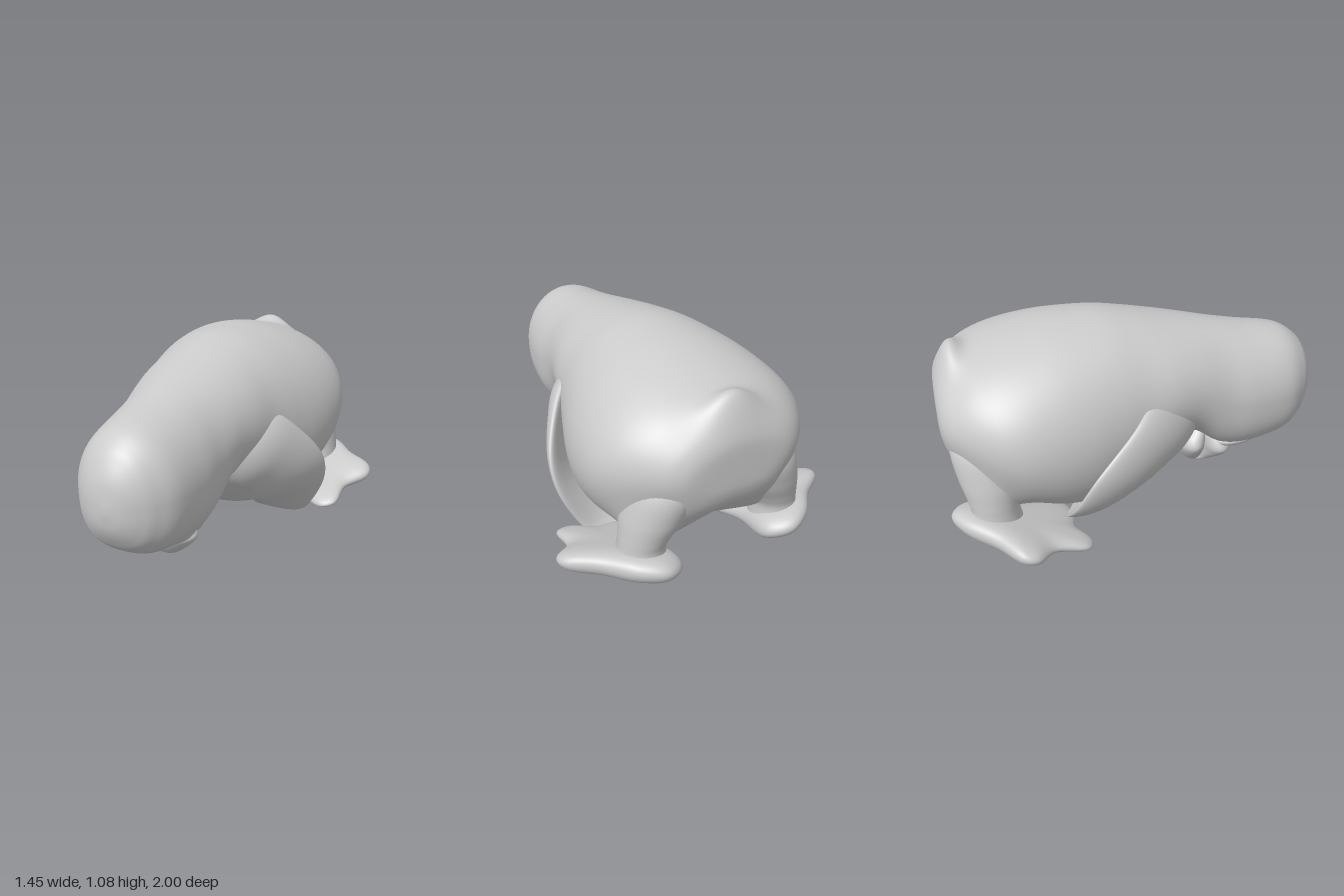
import * as THREE from 'three';

const material = new THREE.MeshStandardMaterial({ color: 0xcccccc });
const V = (x, y, z) => new THREE.Vector3(x, y, z);

// Smoothly interpolate rows of numbers, t in 0..1
function spline(rows, t) {
  const f = t * (rows.length - 1), i = Math.min(Math.floor(f), rows.length - 2), u = f - i;
  const row = k => rows[Math.max(0, Math.min(rows.length - 1, k))];
  return rows[i].map((p1, c) => {
    const p0 = row(i - 1)[c], p2 = row(i + 1)[c], p3 = row(i + 2)[c];
    return p1 + 0.5 * u * (p2 - p0 + u * (2 * p0 - 5 * p1 + 4 * p2 - p3 + u * (3 * (p1 - p2) + p3 - p0)));
  });
}

// Closed skin over a list of equal-length rings, capped at both ends
function skin(name, rings, mirror = false) {
  const n = rings[0].length, last = (rings.length - 1) * n;
  const pts = rings.flat();
  const mean = ring => ring.reduce((s, p) => s.add(p), V(0, 0, 0)).divideScalar(n);
  pts.push(mean(rings[0]), mean(rings[rings.length - 1]));
  if (mirror) pts.forEach(p => { p.x *= -1; });
  const tris = [];
  for (let j = 0; j < n; j++) {
    const k = (j + 1) % n;
    tris.push([pts.length - 2, k, j], [pts.length - 1, last + j, last + k]);
    for (let a = 0; a < last; a += n) tris.push([a + j, a + k, a + n + k], [a + j, a + n + k, a + n + j]);
  }
  // Turn the faces outward if the enclosed volume comes out negative
  const tmp = V(0, 0, 0);
  const volume = tris.reduce((s, [a, b, c]) => s + pts[a].dot(tmp.crossVectors(pts[b], pts[c])), 0);
  if (volume < 0) tris.forEach(t => t.reverse());
  const g = new THREE.BufferGeometry().setFromPoints(pts);
  g.setIndex(tris.flat());
  g.computeVertexNormals();
  const mesh = new THREE.Mesh(g, material);
  mesh.name = name;
  return mesh;
}

// Rings made by point(section, cos, sin) along splined sections
function loft(name, sections, point, count, sides, mirror) {
  const rings = [];
  for (let i = 0; i <= count; i++) {
    const s = spline(sections, i / count), ring = [];
    for (let j = 0; j < sides; j++) {
      const a = j / sides * Math.PI * 2;
      ring.push(point(s, Math.cos(a), Math.sin(a)));
    }
    rings.push(ring);
  }
  return skin(name, rings, mirror);
}

// Body and head: z, top, bottom, half width
const body = [
  [1, 0.57, 0.53, 0.015], [0.985, 0.67, 0.45, 0.08], [0.95, 0.75, 0.38, 0.145], [0.9, 0.815, 0.32, 0.2],
  [0.8, 0.875, 0.265, 0.26], [0.6, 0.915, 0.235, 0.295], [0.45, 0.95, 0.26, 0.303], [0.3, 0.985, 0.36, 0.325],
  [0.15, 1.02, 0.34, 0.365], [0, 1.055, 0.22, 0.405], [-0.15, 1.08, 0.11, 0.46], [-0.3, 1.083, 0.065, 0.51],
  [-0.45, 1.075, 0.09, 0.54], [-0.6, 1.05, 0.17, 0.545], [-0.72, 1.02, 0.27, 0.515], [-0.82, 0.985, 0.36, 0.455],
  [-0.9, 0.935, 0.44, 0.385], [-0.96, 0.885, 0.5, 0.31], [-0.99, 0.82, 0.58, 0.22], [-0.995, 0.74, 0.67, 0.05],
];
const bump = (...d) => Math.exp(-d.reduce((s, v) => s + v * v, 0));
function bodyPoint([z, top, bottom, w], c, s) {
  // Fuller underside on the head
  const e = s < 0 ? 1 - 0.2 * THREE.MathUtils.smoothstep(z, 0.2, 0.5) : 1;
  const x = w * Math.sign(c) * Math.abs(c) ** e;
  const y = (top + bottom) / 2 + (top - bottom) / 2 * Math.sign(s) * Math.abs(s) ** e;
  // Thighs swell down toward the feet, the stubby tail rises at the back
  const thigh = 0.13 * bump((Math.atan2(s, Math.abs(c)) + 1.0) / 0.42, (z + 0.79) / 0.14);
  const tail = s > 0 ? 0.088 * s * bump(x / 0.14, (z + 0.905) / 0.065) : 0;
  return V(x + Math.sign(c) * thigh * 0.55, y - thigh * 0.83 + tail, z);
}

// Flippers: leading edge xyz, trailing edge xyz, half thickness
const leftFlipper = [
  [0.12, 0.5, 0.36, 0.2, 0.76, 0.16, 0.05], [0.24, 0.4, 0.22, 0.37, 0.74, 0.01, 0.06],
  [0.28, 0.34, 0.12, 0.48, 0.63, -0.1, 0.05], [0.27, 0.23, 0, 0.565, 0.46, -0.23, 0.045],
  [0.22, 0.13, -0.17, 0.555, 0.28, -0.31, 0.038], [0.2, 0.05, -0.33, 0.45, 0.075, -0.37, 0.028],
  [0.27, 0.012, -0.47, 0.35, 0.012, -0.47, 0.012],
];
const rightFlipper = [
  [0.12, 0.5, 0.36, 0.2, 0.76, 0.16, 0.05], [0.25, 0.41, 0.22, 0.38, 0.74, 0.0, 0.06],
  [0.32, 0.37, 0.12, 0.49, 0.67, -0.12, 0.05], [0.37, 0.3, -0.03, 0.575, 0.51, -0.31, 0.045],
  [0.34, 0.22, -0.15, 0.55, 0.33, -0.41, 0.04], [0.28, 0.16, -0.25, 0.42, 0.18, -0.44, 0.032],
  [0.21, 0.11, -0.32, 0.23, 0.1, -0.37, 0.015],
];
const outward = V(0.68, -0.1, 0.72).normalize();
function flipperPoint([ax, ay, az, bx, by, bz, h], c, s) {
  return V(ax, ay, az).lerp(V(bx, by, bz), 0.5 + 0.5 * c)
    .addScaledVector(outward, h * s + 0.03 * (1 - c * c));
}

// Webbed foot: scalloped outline inflated around a sloping plane
const footOutline = new THREE.CatmullRomCurve3([
  [0.33, -1], [0.45, -0.95], [0.58, -0.81], [0.715, -0.7], [0.72, -0.63], [0.625, -0.53], [0.61, -0.37], [0.54, -0.34],
  [0.42, -0.4], [0.3, -0.385], [0.2, -0.42], [0.19, -0.5], [0.235, -0.7], [0.23, -0.93],
].map(([x, z]) => V(x, 0, z)), true);
function foot(name, mirror) {
  const outline = footOutline.getPoints(84).slice(0, -1), rings = [];
  for (let i = 1; i < 24; i++) {
    const a = (i / 24 - 0.5) * Math.PI, k = Math.pow(Math.cos(a), 0.5);
    rings.push(outline.map(p => {
      const x = 0.42 + (p.x - 0.42) * k, z = -0.68 + (p.z + 0.68) * k;
      const h = 0.046 + 0.034 * THREE.MathUtils.smoothstep(-z, 0.4, 0.9);
      return V(x, -0.078 + 0.17 * x - 0.253 * z + h * Math.sin(a), z);
    }));
  }
  return skin(name, rings, mirror);
}

// Legs: x, y, z, x radius, z radius
const leg = [
  [0.24, 0.72, -0.78, 0.1, 0.12], [0.255, 0.6, -0.78, 0.16, 0.18], [0.3, 0.46, -0.78, 0.155, 0.165],
  [0.345, 0.35, -0.785, 0.125, 0.13], [0.365, 0.28, -0.785, 0.112, 0.12], [0.37, 0.19, -0.79, 0.12, 0.14],
];

// Beak halves: y, half width, front z, back z
const upperBeak = [
  [0.32, 0.1, 0.49, 0.38], [0.27, 0.15, 0.54, 0.385], [0.22, 0.175, 0.565, 0.39], [0.17, 0.14, 0.55, 0.395],
  [0.11, 0.075, 0.51, 0.39], [0.075, 0.035, 0.45, 0.38], [0.064, 0.008, 0.41, 0.38],
];
const lowerBeak = [
  [0.33, 0.09, 0.43, 0.33], [0.28, 0.13, 0.425, 0.275], [0.23, 0.145, 0.42, 0.26], [0.17, 0.11, 0.42, 0.275],
  [0.11, 0.06, 0.41, 0.31], [0.085, 0.03, 0.4, 0.34], [0.08, 0.008, 0.39, 0.37],
];
const beakPoint = ([y, w, f, b], c, s) => V(w * c, y, (f + b) / 2 + (f - b) / 2 * s);

// Shallow oval eye lying against the underside of the head
function eye(name, side) {
  const mesh = new THREE.Mesh(new THREE.SphereGeometry(1, 40, 28), material);
  mesh.position.set(side * 0.115, 0.268, 0.575);
  mesh.rotation.set(-0.12, 0, side * 0.3);
  mesh.scale.set(0.085, 0.04, 0.125);
  mesh.name = name;
  return mesh;
}

export function createModel() {
  const model = new THREE.Group();
  model.name = 'restingBird';
  model.add(
    loft('body', body, bodyPoint, 152, 120),
    loft('upperBeak', upperBeak, beakPoint, 30, 40),
    loft('lowerBeak', lowerBeak, beakPoint, 30, 40),
    loft('leftFlipper', leftFlipper, flipperPoint, 54, 36),
    loft('rightFlipper', rightFlipper, flipperPoint, 54, 36, true),
  );
  for (const [side, mirror] of [['left', false], ['right', true]]) {
    model.add(
      loft(side + 'Leg', leg, ([x, y, z, rx, rz], c, s) => V(x + rx * c, y, z + rz * s), 36, 40, mirror),
      foot(side + 'Foot', mirror),
      eye(side + 'Eye', mirror ? -1 : 1),
    );
  }
  return model;
}
